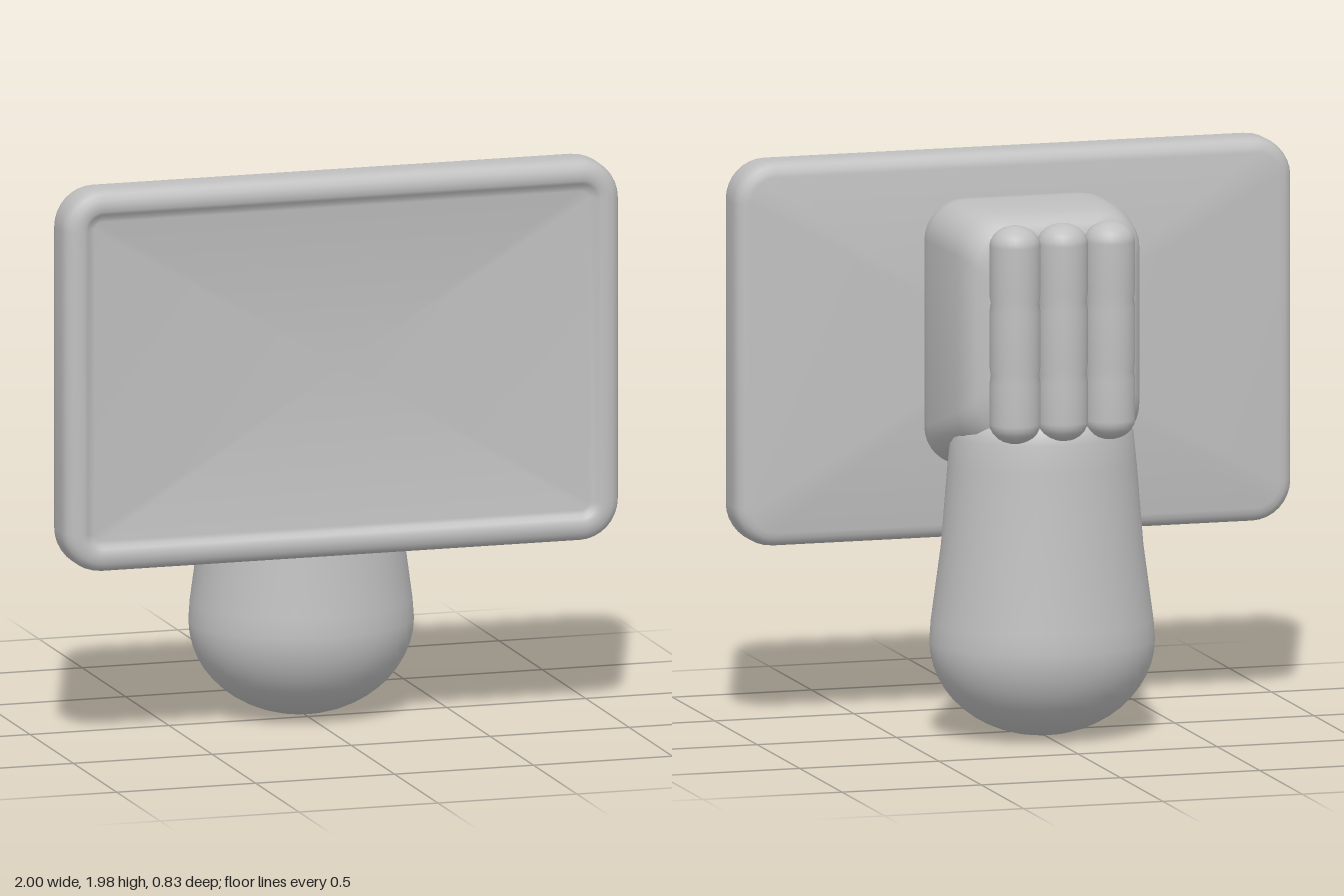
import * as THREE from 'three';
import { mergeVertices, toCreasedNormals } from 'three/addons/utils/BufferGeometryUtils.js';

const gray = new THREE.MeshStandardMaterial({ color: 0xc0c0c0 });
gray.name = 'plain gray';

function add(group, name, geometry) {
  const mesh = new THREE.Mesh(geometry, gray);
  mesh.name = name;
  group.add(mesh);
  return mesh;
}

// Points of a rounded rectangle, counter-clockwise
function roundedLoop(halfW, halfH, r, steps = 8) {
  const points = [];
  [[1, 1], [-1, 1], [-1, -1], [1, -1]].forEach(([sx, sy], q) => {
    for (let i = 0; i <= steps; i++) {
      const a = (q + i / steps) * Math.PI / 2;
      points.push([sx * (halfW - r) + r * Math.cos(a), sy * (halfH - r) + r * Math.sin(a)]);
    }
  });
  return points;
}

// Skin a stack of loops of equal length along z, closed with a fan at both ends
function loft(loops, first, last) {
  const n = loops[0].length;
  const position = loops.flat(2);
  const index = [];
  for (let k = 0; k < loops.length - 1; k++) {
    for (let j = 0; j < n; j++) {
      const a = k * n + j, b = k * n + (j + 1) % n;
      index.push(a, b, b + n, a, b + n, a + n);
    }
  }
  const start = loops.length * n, top = start - n;
  position.push(...first, ...last);
  for (let j = 0; j < n; j++) {
    const next = (j + 1) % n;
    index.push(start, next, j, start + 1, top + j, top + next);
  }
  const g = new THREE.BufferGeometry();
  g.setAttribute('position', new THREE.Float32BufferAttribute(position, 3));
  g.setIndex(index);
  return g;
}

// Board with soft edges and a shallow recessed front: [inset, z]
function boardGeometry() {
  const profile = [
    [0.05, 0.237], [0.03, 0.241], [0.012, 0.252], [0.003, 0.27], [0, 0.29],
    [0, 0.36], [0.003, 0.38], [0.012, 0.397], [0.03, 0.408], [0.05, 0.412],
    [0.07, 0.411], [0.082, 0.405], [0.095, 0.393], [0.11, 0.39],
  ];
  const loops = profile.map(([inset, z]) =>
    roundedLoop(1 - inset, 0.67 - inset, Math.max(0.14 - inset, 0.02)).map(([x, y]) => [x, y + 1.31, z]));
  return toCreasedNormals(loft(loops, [0, 1.31, 0.237], [0, 1.31, 0.39]), 0.7);
}

// Palm: rounded block, narrower at the back, with a bottom that climbs to the back
function palmGeometry() {
  const sections = [
    [0.27, -0.25], [0.31, -0.235], [0.335, -0.2], [0.345, -0.15], [0.35, -0.05],
    [0.35, 0.12], [0.345, 0.18], [0.33, 0.225], [0.31, 0.26],
  ];
  const loops = sections.map(([w, z]) => {
    const taper = z < 0 ? 1 + z * 0.35 : 1;
    const lift = (0.26 - z) * 0.3;
    return roundedLoop(w * taper, w + 0.13, 0.14).map(([x, y]) =>
      [x, 1.36 + y + (y < 0 ? lift : 0), z]);
  });
  return toCreasedNormals(mergeVertices(loft(loops, [0, 1.36, -0.25], [0, 1.36, 0.26])), 0.9);
}

// Forearm: half-ball base and a tapering shaft with a rounded top
function armGeometry() {
  const points = [];
  for (let i = 0; i <= 12; i++) {
    const a = i / 12 * Math.PI / 2;
    points.push(new THREE.Vector2(0.392 * Math.sin(a), 0.33 - 0.33 * Math.cos(a)));
  }
  [[0.387, 0.4], [0.352, 0.66], [0.328, 0.95], [0.318, 1.05], [0.3, 1.1], [0.25, 1.14], [0, 1.16]]
    .forEach(([r, y]) => points.push(new THREE.Vector2(r, y)));
  const g = new THREE.LatheGeometry(points, 40);
  g.scale(1, 1, 0.88);
  return g;
}

// Finger: rounded ends and two shallow joint creases
function fingerGeometry() {
  const r = 0.088, low = 1.06, high = 1.82;
  const points = [];
  for (let i = 0; i <= 6; i++) {
    const a = i / 6 * Math.PI / 2;
    points.push(new THREE.Vector2(r * Math.sin(a), low + 0.07 * (1 - Math.cos(a))));
  }
  for (const y of [1.3, 1.55]) {
    points.push(new THREE.Vector2(r, y - 0.03), new THREE.Vector2(r - 0.005, y), new THREE.Vector2(r, y + 0.03));
  }
  for (let i = 0; i <= 6; i++) {
    const a = i / 6 * Math.PI / 2;
    points.push(new THREE.Vector2(r * Math.cos(a), high - 0.07 * (1 - Math.sin(a))));
  }
  return new THREE.LatheGeometry(points, 24);
}

export function createModel() {
  const model = new THREE.Group();
  model.name = 'handHoldingBoard';

  add(model, 'board', boardGeometry());
  add(model, 'palm', palmGeometry());
  add(model, 'forearm', armGeometry()).position.z = -0.077;

  const fingers = new THREE.Group();
  fingers.name = 'fingers';
  model.add(fingers);
  const shape = fingerGeometry();
  ['rightFinger', 'middleFinger', 'leftFinger'].forEach((name, i) => {
    add(fingers, name, shape).position.set((i - 1) * 0.17, 0, -0.315);
  });

  return model;
}
